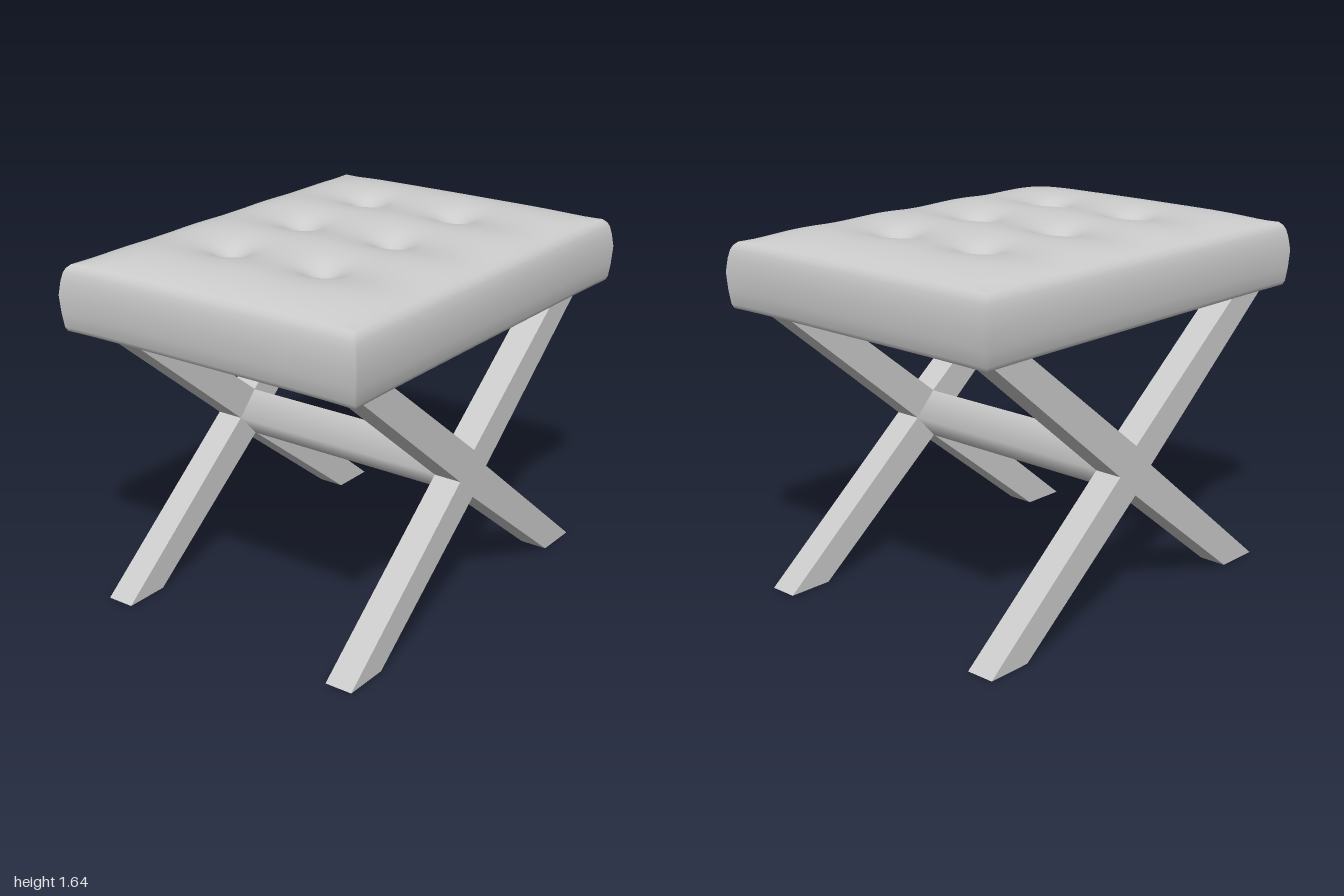
import * as THREE from 'three';
import { mergeVertices, toCreasedNormals } from 'three/addons/utils/BufferGeometryUtils.js';

const CX = 0.015, CY = 0.645; // where the legs cross

export function createModel() {
  const group = new THREE.Group();
  const material = new THREE.MeshStandardMaterial({ color: 0xcccccc });
  const add = (name, geometry) => {
    const mesh = new THREE.Mesh(geometry, material);
    mesh.name = name;
    group.add(mesh);
    return mesh;
  };

  // X-shaped leg frames, front and back
  const half = [[0.895, 0], [0.685, 0], [0, 0.535]];
  const outline = [
    [-0.895, 0], [-0.685, 0], [0, 0.535], [0.685, 0], [0.895, 0], [0.105, CY],
    [0.895, 1.295], [0.685, 1.295], [0, 0.757], [-0.685, 1.295], [-0.895, 1.295], [-0.105, CY],
  ];
  const shape = new THREE.Shape(outline.map(([x, y]) => new THREE.Vector2(x + CX, y)));
  for (const [name, z] of [['frontLegs', 0.52], ['backLegs', -0.695]]) {
    const legs = new THREE.ExtrudeGeometry(shape, { depth: 0.13, bevelEnabled: false });
    add(name, legs).position.z = z;
  }

  // Diamond-section stretcher joining the two crossings
  const bar = new THREE.CylinderGeometry(0.111, 0.111, 1.085, 4, 1, true);
  bar.rotateX(Math.PI / 2);
  bar.scale(0.105 / 0.111, 1, 1);
  add('stretcher', bar).position.set(CX, CY, -0.0225);

  add('cushion', cushionGeometry());
  return group;
}

// Tufted cushion: a dense box whose walls bulge and whose top is domed and dimpled
function cushionGeometry() {
  // Wall profile from bottom to top: height, inset
  const wall = [[1.287, 0.035], [1.292, 0.02], [1.31, 0.012], [1.37, 0.005], [1.45, 0],
    [1.51, 0.008], [1.545, 0.016], [1.565, 0.026], [1.58, 0.042]];
  const rows = wall.length - 1;
  const geometry = new THREE.BoxGeometry(2, 2, 2, 96, rows, 76);
  geometry.deleteAttribute('uv');
  geometry.deleteAttribute('normal');
  const p = geometry.attributes.position;
  const rise = (d) => 1 - Math.exp(-d / 0.1);

  for (let i = 0; i < p.count; i++) {
    const u = p.getX(i), v = p.getZ(i), t = (p.getY(i) + 1) / 2;
    const [level, inset] = wall[Math.round(t * rows)];
    // Corners stand out a little from the long edges
    const x = u * (0.988 + 0.01 * v ** 6 - inset);
    const z = v * (0.752 + 0.007 * u ** 6 - inset);
    let y = level;
    if (t > 0.999) {
      y += 0.058 * rise((1 - Math.abs(u)) * 0.95) * rise((1 - Math.abs(v)) * 0.72);
      // Button tufts: a tight dimple within a broad hollow
      for (const bx of [-0.49, 0, 0.49]) {
        for (const bz of [-0.25, 0.23]) {
          const r2 = (x - bx) ** 2 + (z - bz) ** 2;
          y -= 0.04 * Math.exp(-r2 / 0.006) + 0.025 * Math.exp(-r2 / 0.035);
        }
      }
      // Gentle swell between tuft columns
      y -= 0.008 * Math.cos((x / 0.49) * Math.PI * 2) * (1 - u ** 4) * (1 - v ** 4);
    }
    p.setXYZ(i, x, y, z);
  }
  return toCreasedNormals(mergeVertices(geometry, 1e-5), 0.9);
}
